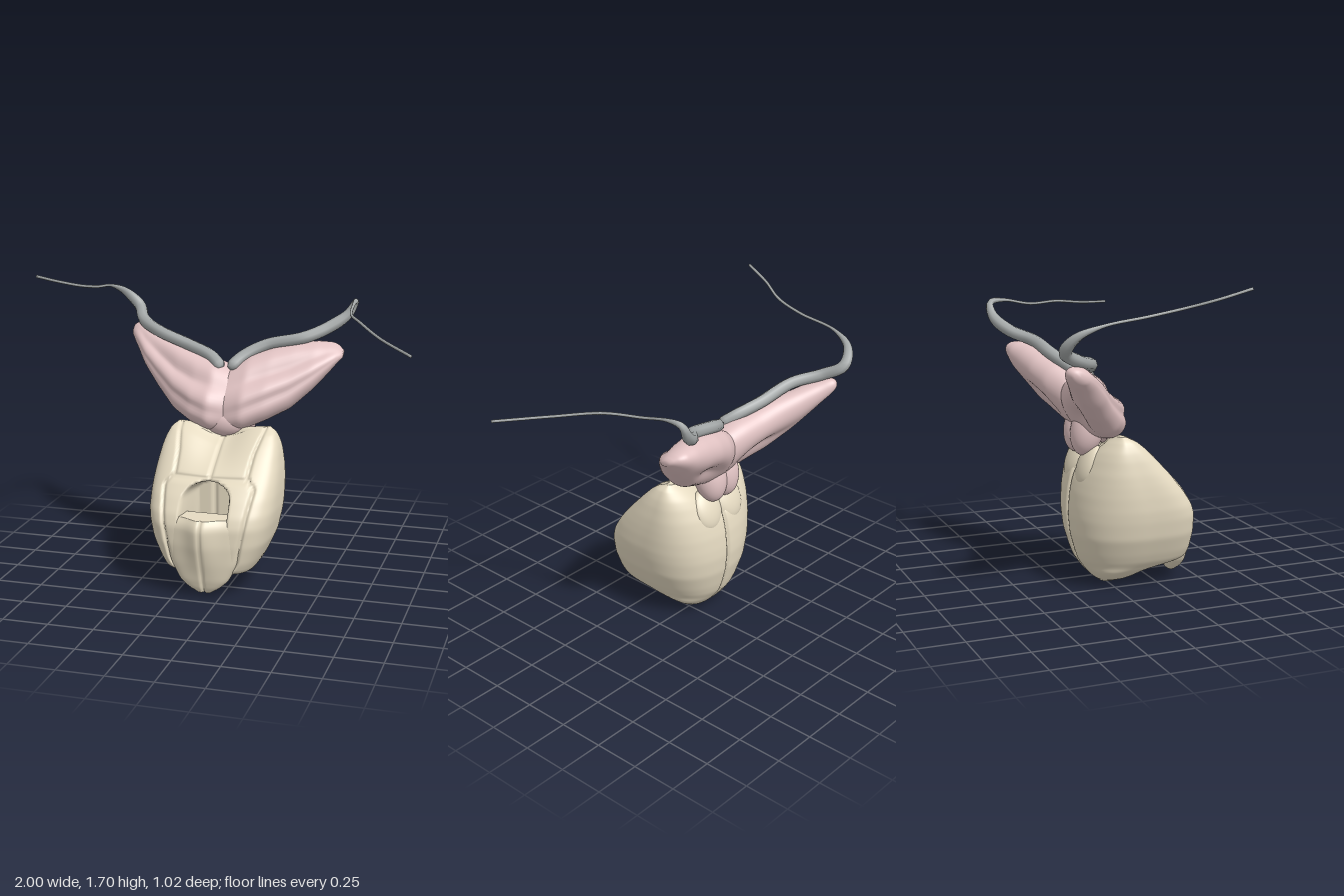
import * as THREE from 'three';

const MID = -0.09; // symmetry plane of the lower body
const { smoothstep } = THREE.MathUtils;
const bump = (d, w) => Math.exp(-((d / w) ** 2));

// Piecewise linear lookup in rows [key, a, b, ...] with rising keys, lightly smoothed
function lookup(rows, k) {
  const at = (q) => {
    if (q <= rows[0][0]) return rows[0];
    for (let i = 1; i < rows.length; i++) {
      if (q <= rows[i][0]) {
        const t = (q - rows[i - 1][0]) / (rows[i][0] - rows[i - 1][0]);
        return rows[i].map((v, j) => THREE.MathUtils.lerp(rows[i - 1][j], v, t));
      }
    }
    return rows[rows.length - 1];
  };
  const s = 0.014, a = at(k - s), b = at(k), c = at(k + s);
  return b.map((v, j) => (a[j] + 2 * v + c[j]) / 4);
}

// Closed skin over a series of rings, ends drawn together to a point
function loft(rings) {
  const n = rings[0].length;
  const centre = (r) => {
    const c = r.reduce((s, p) => s.add(p), new THREE.Vector3()).divideScalar(n);
    return r.map(() => c);
  };
  const all = [centre(rings[0]), ...rings, centre(rings[rings.length - 1])];
  const pos = [], index = [];
  all.forEach((r) => r.forEach((p) => pos.push(p.x, p.y, p.z)));
  for (let i = 0; i < all.length - 1; i++) {
    for (let j = 0; j < n; j++) {
      const k = (j + 1) % n, a = i * n + j, b = i * n + k, c = a + n, d = b + n;
      if (i > 0) index.push(a, b, d);
      if (i < all.length - 2) index.push(a, d, c);
    }
  }
  // Turn the faces outward
  const P = (i) => new THREE.Vector3().fromArray(pos, i * 3);
  let volume = 0;
  for (let i = 0; i < index.length; i += 3) {
    volume += P(index[i]).dot(P(index[i + 1]).cross(P(index[i + 2])));
  }
  if (volume < 0) index.reverse();
  const g = new THREE.BufferGeometry();
  g.setAttribute('position', new THREE.Float32BufferAttribute(pos, 3));
  g.setIndex(index);
  g.computeVertexNormals();
  return g;
}

// Stack of horizontal sections; rows are [y, half width, z front, z back]
function stacked(rows, steps, segs, frontPower, backPower, shape) {
  const y0 = rows[0][0], y1 = rows[rows.length - 1][0], rings = [];
  for (let i = 0; i <= steps; i++) {
    const y = y0 + (y1 - y0) * (0.5 - 0.5 * Math.cos((Math.PI * i) / steps));
    const [, w, zf, zb] = lookup(rows, y);
    const ring = [];
    for (let j = 0; j < segs; j++) {
      const a = (2 * Math.PI * j) / segs, s = Math.sin(a), front = Math.cos(a) >= 0;
      const power = front ? frontPower : backPower;
      const depth = Math.max(0, 1 - Math.abs(s) ** power) ** (1 / power);
      const p = new THREE.Vector3(w * s, y, (zf + zb) / 2 + ((front ? 1 : -1) * depth * (zf - zb)) / 2);
      shape(p, front);
      p.x += MID;
      ring.push(p);
    }
    rings.push(ring);
  }
  return loft(rings);
}

const BODY = [
  [0.005, 0.03, 0.04, -0.02], [0.02, 0.09, 0.08, -0.05], [0.05, 0.15, 0.135, -0.085], [0.09, 0.2, 0.2, -0.12],
  [0.11, 0.215, 0.28, -0.135], [0.125, 0.225, 0.38, -0.145], [0.145, 0.245, 0.435, -0.16], [0.2, 0.275, 0.452, -0.18],
  [0.3, 0.32, 0.46, -0.207], [0.4, 0.342, 0.458, -0.217], [0.46, 0.35, 0.437, -0.215], [0.54, 0.352, 0.384, -0.207],
  [0.6, 0.35, 0.333, -0.194], [0.66, 0.345, 0.277, -0.177], [0.74, 0.332, 0.203, -0.143], [0.785, 0.32, 0.158, -0.117],
  [0.83, 0.3, 0.105, -0.075], [0.85, 0.285, 0.07, -0.05], [0.865, 0.255, 0.025, -0.02],
];
const TONGUE = [
  [0.025, 0.03, 0.415, 0.385], [0.05, 0.08, 0.435, 0.365], [0.1, 0.135, 0.448, 0.34], [0.2, 0.185, 0.458, 0.32],
  [0.3, 0.205, 0.464, 0.315], [0.4, 0.21, 0.46, 0.315], [0.435, 0.205, 0.445, 0.32], [0.45, 0.19, 0.425, 0.335],
];
// Side seams on the front, as [y, distance from the middle]
const SEAM = [[0.02, 0.05], [0.2, 0.18], [0.4, 0.22], [0.6, 0.25], [0.63, 0.2], [0.75, 0.21], [0.86, 0.24]];

function shapeBody(p, front) {
  const ax = Math.abs(p.x), y = p.y;
  let cut = 0.022 * bump(p.x, 0.009);
  if (front) {
    cut = Math.max(cut, 0.02 * bump(ax - lookup(SEAM, y)[1], 0.01));
    if (ax < 0.22) cut = Math.max(cut, 0.02 * bump(y - 0.63, 0.011));
    // Round opening that runs on downward as a channel behind the tongue
    const r = Math.hypot(p.x / 0.125, Math.max(0, y - 0.53) / 0.085);
    p.z = THREE.MathUtils.lerp(p.z, Math.min(p.z, 0.2), 1 - smoothstep(r, 0.75, 1.1));
  }
  p.z -= (front ? 1 : -1) * cut * smoothstep(y, 0.02, 0.1);
  // Saddle between the two shoulders
  p.y -= (front ? 0.07 : 0.09) * bump(p.x, 0.14) * smoothstep(y, 0.6, 0.86);
}

// Middle ridge of the tongue, with a fine groove
function shapeTongue(p, front) {
  if (!front) return;
  p.z += 0.055 * bump(p.x, 0.08) * smoothstep(p.y, 0.05, 0.4) - 0.015 * bump(p.x, 0.009);
}

// Wing sections as [distance out, y low, y high, z back, z front]
const RIGHT_WING = [
  [-0.06, 0.86, 1.1, -0.2, 0.02], [0, 0.81, 1.15, -0.25, 0.05], [0.09, 0.82, 1.18, -0.27, 0.09],
  [0.2, 0.85, 1.2, -0.29, 0.05], [0.32, 0.9, 1.23, -0.32, -0.03], [0.44, 1.0, 1.265, -0.37, -0.13],
  [0.54, 1.1, 1.3, -0.42, -0.21], [0.6, 1.18, 1.325, -0.455, -0.28], [0.635, 1.22, 1.32, -0.45, -0.32],
  [0.655, 1.25, 1.3, -0.42, -0.36],
];
const LEFT_WING = [
  [-0.06, 0.86, 1.1, -0.2, 0.02], [0, 0.81, 1.15, -0.25, 0.05], [0.1, 0.83, 1.21, -0.31, 0.075],
  [0.22, 0.88, 1.25, -0.35, 0.03], [0.34, 0.94, 1.275, -0.37, -0.04], [0.45, 1.04, 1.285, -0.385, -0.11],
  [0.53, 1.13, 1.28, -0.38, -0.18], [0.57, 1.18, 1.265, -0.355, -0.22], [0.595, 1.21, 1.24, -0.31, -0.26],
];

function wing(rows, side) {
  const rings = [], first = rows[0][0], last = rows[rows.length - 1][0], steps = 50;
  for (let i = 0; i <= steps; i++) {
    const t = i / steps, d = first + (last - first) * t;
    const [, lo, hi, zb, zf] = lookup(rows, d);
    const ring = [], dent = Math.sin(Math.PI * t);
    for (let j = 0; j < 64; j++) {
      const a = (2 * Math.PI * j) / 64;
      const off = (c) => Math.atan2(Math.sin(a - c), Math.cos(a - c));
      // Long hollow and a fold on the front, broad hollow at the back
      const r = 1 - dent * (0.3 * bump(off(0.5), 0.32) + 0.1 * bump(off(-0.35), 0.18)
        + 0.36 * bump(off(3.5), 0.42) * (0.65 - 0.35 * Math.cos(14 * d)));
      ring.push(new THREE.Vector3(MID + side * d, (lo + hi) / 2 + ((hi - lo) / 2) * r * Math.sin(a),
        (zf + zb) / 2 + ((zf - zb) / 2) * r * Math.cos(a + 0.45)));
    }
    rings.push(ring);
  }
  return loft(rings);
}

// Cord of eight sides whose thickness falls along its length, thin after the given fraction
function cord(points, thinAt) {
  const curve = new THREE.CatmullRomCurve3(points.map((p) => new THREE.Vector3(...p)));
  const steps = 90, f = curve.computeFrenetFrames(steps), rings = [];
  for (let i = 0; i <= steps; i++) {
    const t = i / steps, c = curve.getPointAt(t);
    const r = (0.008 + 0.026 * (1 - smoothstep(t, thinAt - 0.18, thinAt))) * (i === 0 ? 0.6 : 1);
    rings.push(Array.from({ length: 8 }, (_, j) => {
      const a = (j * Math.PI) / 4;
      return c.clone().addScaledVector(f.normals[i], r * Math.cos(a)).addScaledVector(f.binormals[i], r * Math.sin(a));
    }));
  }
  return loft(rings);
}

export function createModel() {
  const group = new THREE.Group();
  const mat = (color) => new THREE.MeshStandardMaterial({ color });
  const cream = mat(0xe6dbc2), pink = mat(0xe2c4c4), grey = mat(0xa4a8a8);
  const add = (name, geometry, material) => {
    const m = new THREE.Mesh(geometry, material);
    m.name = name;
    group.add(m);
  };
  const blob = (name, material, pos, size, lean = 0) => {
    const g = new THREE.SphereGeometry(1, 32, 20).scale(...size).rotateX(lean).translate(...pos);
    add(name, g, material);
  };

  // Lower body with its front tongue and rear pads
  add('body', stacked(BODY, 100, 240, 3.8, 2.4, shapeBody), cream);
  add('frontTongue', stacked(TONGUE, 40, 120, 3.4, 3, shapeTongue), cream);
  for (const s of [-1, 1]) blob('rearPad', cream, [MID + s * 0.085, 0.685, -0.125], [0.1, 0.12, 0.05], 0.4);

  // Upper wings and the stalk joining them to the body
  add('rightWing', wing(RIGHT_WING, -1), pink);
  add('leftWing', wing(LEFT_WING, 1), pink);
  for (const s of [-1, 1]) blob('stalk', pink, [MID + s * 0.05, 0.88, -0.115], [0.095, 0.15, 0.09], 0.25);
  blob('frontBulge', pink, [MID, 0.865, -0.01], [0.12, 0.08, 0.07]);

  // Long cords along the wing tops
  add('rightCord', cord([
    [-0.14, 1.15, -0.1], [-0.22, 1.2, -0.16], [-0.35, 1.24, -0.21], [-0.55, 1.3, -0.26], [-0.68, 1.34, -0.37],
    [-0.74, 1.4, -0.47], [-0.81, 1.48, -0.44], [-0.85, 1.535, -0.32], [-0.852, 1.57, -0.08], [-0.88, 1.605, 0.1],
    [-0.95, 1.65, 0.25], [-0.995, 1.7, 0.41],
  ], 0.6), grey);
  add('leftCord', cord([
    [-0.09, 1.15, -0.1], [-0.04, 1.2, -0.17], [0.08, 1.26, -0.24], [0.28, 1.305, -0.27], [0.4, 1.35, -0.37],
    [0.5, 1.42, -0.43], [0.54, 1.49, -0.43], [0.55, 1.5, -0.35], [0.565, 1.47, -0.19], [0.65, 1.465, 0],
    [0.8, 1.43, 0.22], [0.995, 1.4, 0.45],
  ], 0.53), grey);
  return group;
}
